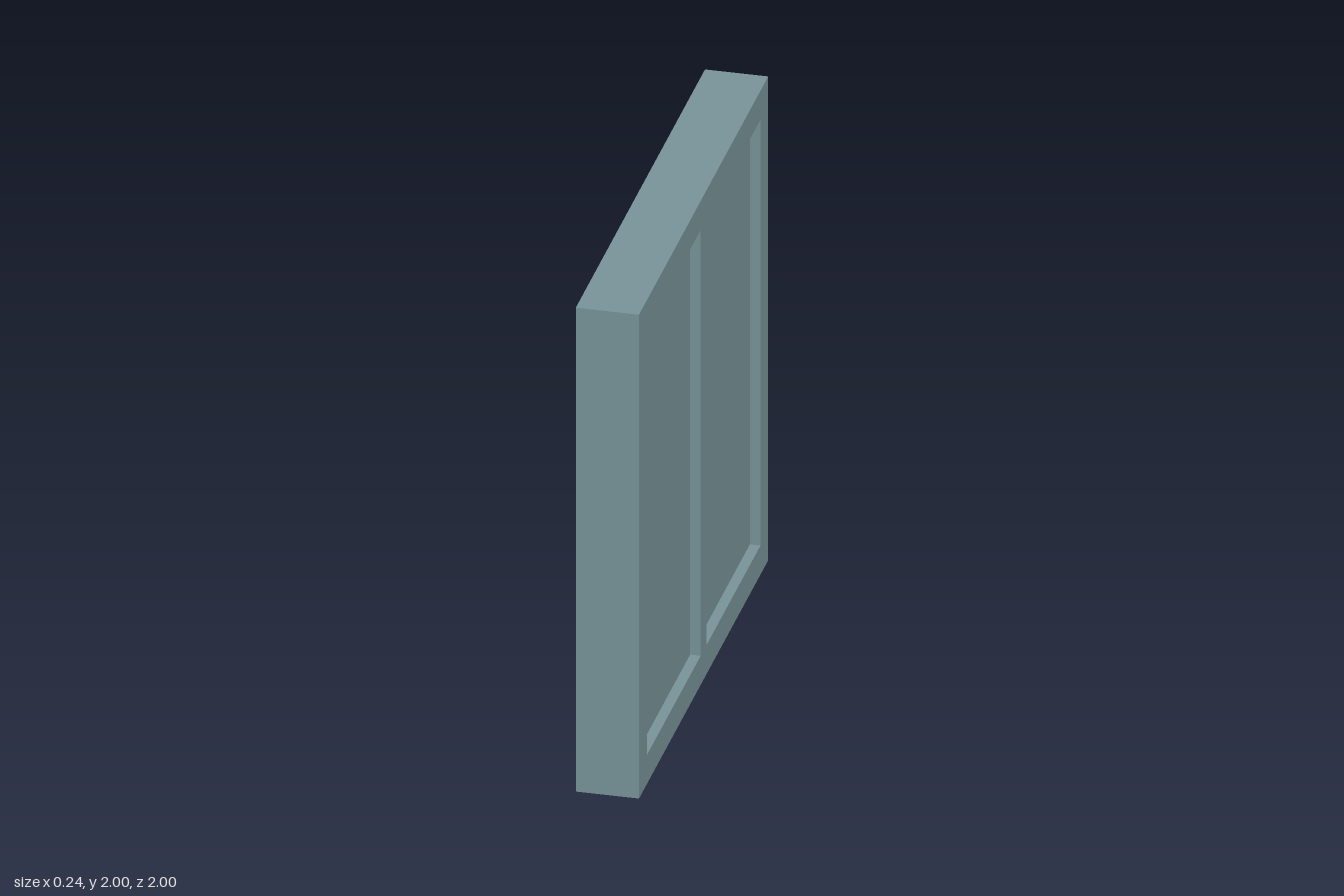
import * as THREE from 'three';

const HEIGHT = 2, HALF_WIDTH = 1, THICKNESS = 0.24;
const RAIL = 0.12, MULLION = 0.09, RECESS = 0.04;

const rectangle = (Type, x, y, w, h) => new Type([
  new THREE.Vector2(x, y), new THREE.Vector2(x + w, y),
  new THREE.Vector2(x + w, y + h), new THREE.Vector2(x, y + h),
]);

export function createModel() {
  const group = new THREE.Group();
  const material = new THREE.MeshStandardMaterial({ color: 0x78949a });

  const paneWidth = HALF_WIDTH - RAIL - MULLION / 2;
  const paneHeight = HEIGHT - 2 * RAIL;

  // Frame with two tall openings, drawn flat and turned to face the sides
  const outline = rectangle(THREE.Shape, -HALF_WIDTH, 0, 2 * HALF_WIDTH, HEIGHT);
  for (const x of [-HALF_WIDTH + RAIL, MULLION / 2]) {
    outline.holes.push(rectangle(THREE.Path, x, RAIL, paneWidth, paneHeight));
  }
  const frameGeometry = new THREE.ExtrudeGeometry(outline, { depth: THICKNESS, bevelEnabled: false });
  frameGeometry.translate(0, 0, -THICKNESS / 2).rotateY(Math.PI / 2);
  const frame = new THREE.Mesh(frameGeometry, material);
  frame.name = 'frame';
  group.add(frame);

  // Panels set back from both faces of the frame
  const panelGeometry = new THREE.BoxGeometry(THICKNESS - 2 * RECESS, paneHeight, paneWidth);
  for (const side of [-1, 1]) {
    const panel = new THREE.Mesh(panelGeometry, material);
    panel.name = side > 0 ? 'frontPanel' : 'backPanel';
    panel.position.set(0, HEIGHT / 2, side * (MULLION + paneWidth) / 2);
    group.add(panel);
  }
  return group;
}
